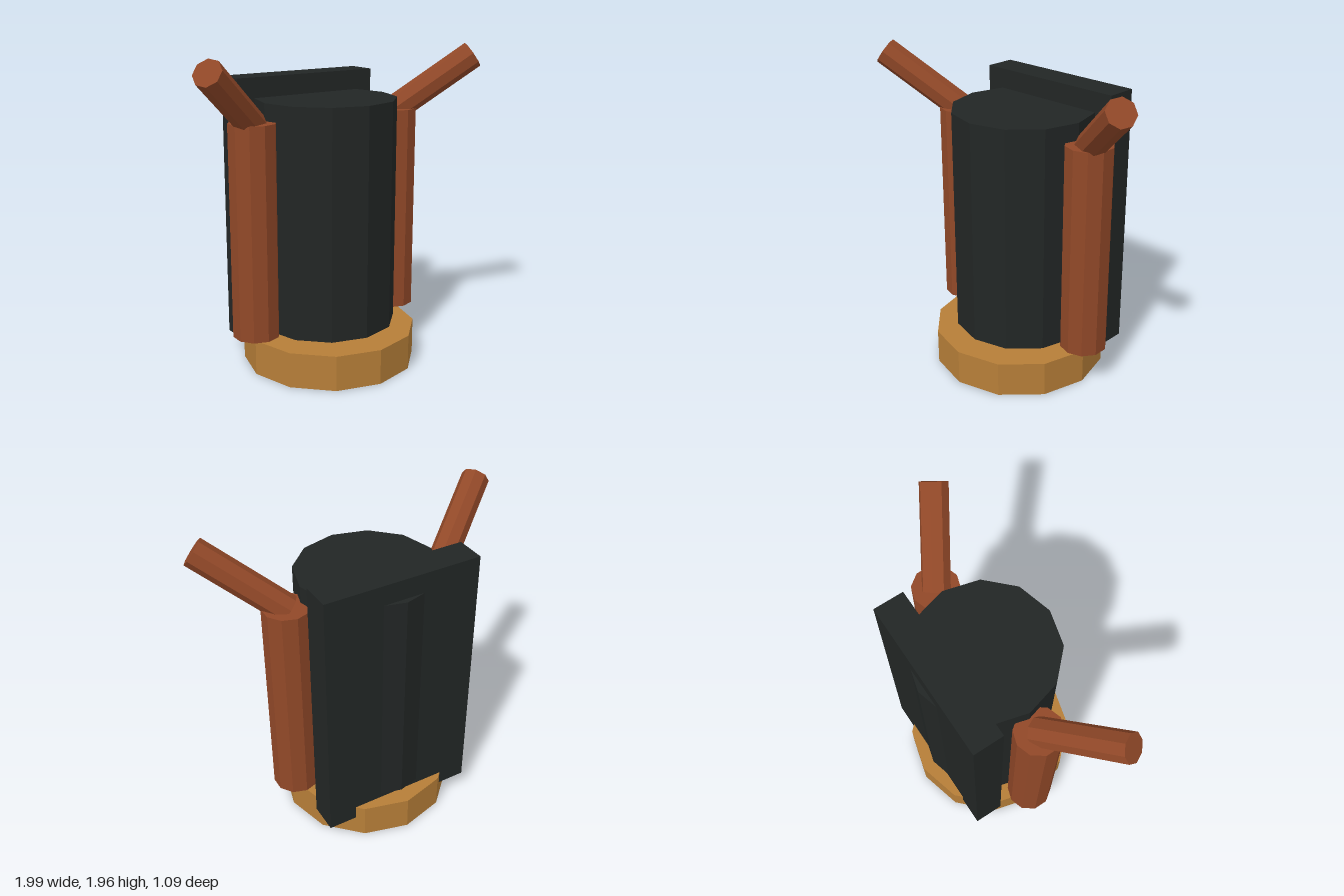
import * as THREE from 'three';

export function createModel() {
  const model = new THREE.Group();
  const material = (color) => new THREE.MeshStandardMaterial({ color, flatShading: true });
  const dark = material(0x222625);
  const rust = material(0x914828);
  const tan = material(0xb67e38);

  const add = (name, geometry, mat, x, y, z) => {
    const mesh = new THREE.Mesh(geometry, mat);
    mesh.name = name;
    mesh.position.set(x, y, z);
    model.add(mesh);
    return mesh;
  };

  // Twelve-sided foot, body and the slab behind it
  add('base', new THREE.CylinderGeometry(0.545, 0.545, 0.22, 12), tan, 0, 0.11, 0);
  add('body', new THREE.CylinderGeometry(0.435, 0.435, 1.415, 12), dark, 0, 0.9575, -0.03);
  add('backPanel', new THREE.BoxGeometry(0.99, 1.66, 0.19), dark, 0, 0.96, -0.335);

  // Upright posts, each with a raised rod leaning out and forward
  const up = new THREE.Vector3(0, 1, 0);
  for (const [side, s] of [['left', 1], ['right', -1]]) {
    add(side + 'Post', new THREE.CylinderGeometry(0.145, 0.145, 1.31, 10), rust, s * 0.522, 0.905, -0.025);

    const start = new THREE.Vector3(s * 0.512, 1.54, -0.03);
    const end = new THREE.Vector3(s * 0.935, 1.895, 0.245);
    const axis = end.clone().sub(start);
    const mid = start.clone().add(end).multiplyScalar(0.5);
    const rod = add(side + 'Rod', new THREE.CylinderGeometry(0.087, 0.087, axis.length(), 8), rust, mid.x, mid.y, mid.z);
    rod.quaternion.setFromUnitVectors(up, axis.normalize());
  }
  return model;
}
